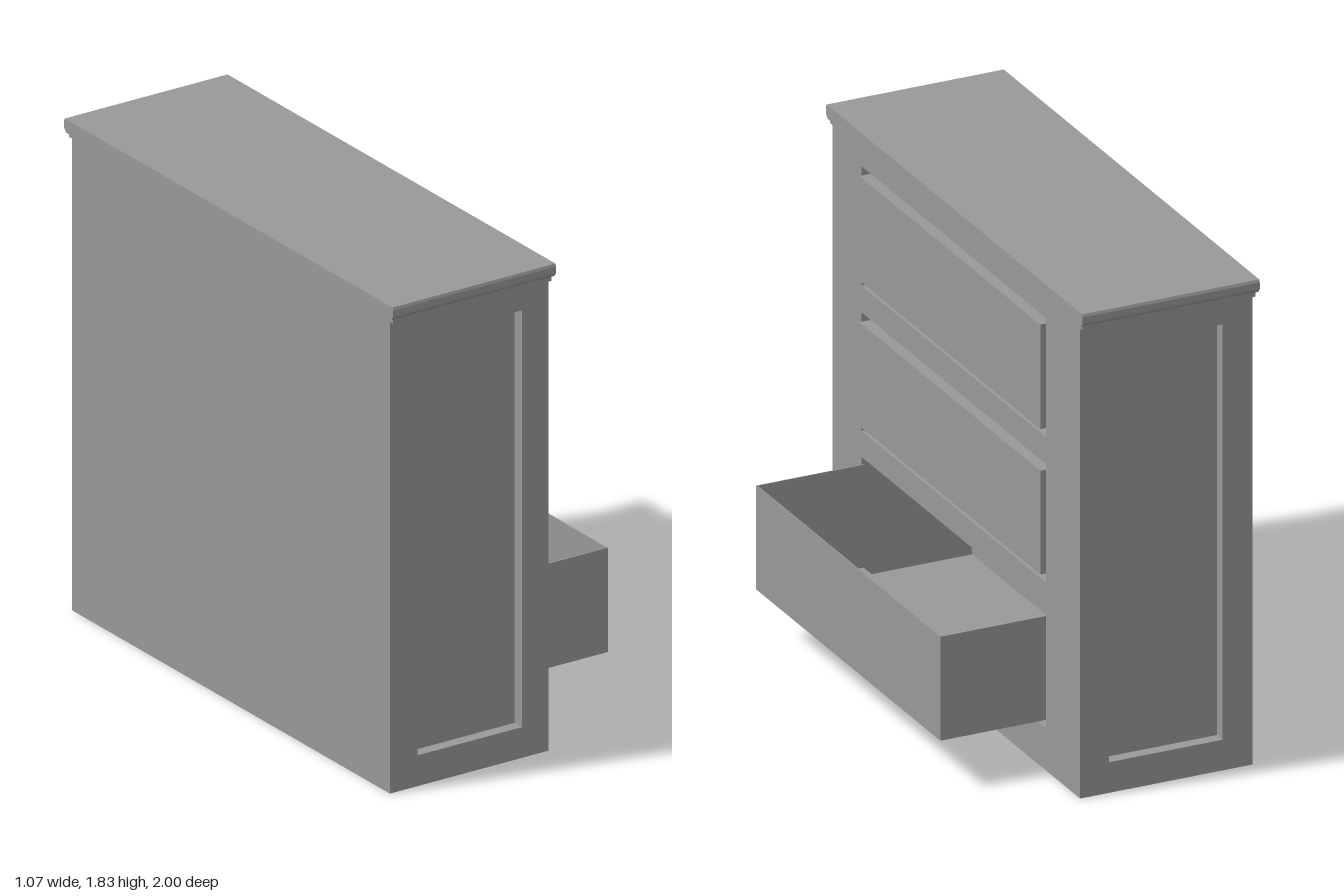
import * as THREE from 'three';

const material = new THREE.MeshStandardMaterial({ color: 0x999999, flatShading: true });

// Counter-clockwise rectangle corners
const rect = (u0, v0, u1, v1) =>
  [[u0, v0], [u1, v0], [u1, v1], [u0, v1]].map(([u, v]) => new THREE.Vector2(u, v));

function plate(outline, holes, depth) {
  const shape = new THREE.Shape(outline);
  holes.forEach((h) => shape.holes.push(new THREE.Path(h.slice().reverse())));
  return new THREE.ExtrudeGeometry(shape, { depth, bevelEnabled: false });
}

function add(parent, name, geometry) {
  const mesh = new THREE.Mesh(geometry, material);
  mesh.name = name;
  parent.add(mesh);
}

// Box given by its minimum and maximum on each axis
function block(parent, name, [x0, x1], [y0, y1], [z0, z1]) {
  const geometry = new THREE.BoxGeometry(x1 - x0, y1 - y0, z1 - z0);
  geometry.translate((x0 + x1) / 2, (y0 + y1) / 2, (z0 + z1) / 2);
  add(parent, name, geometry);
}

export function createModel() {
  const model = new THREE.Group();
  model.name = 'chestOfDrawers';

  const back = -0.527, front = 0.133, height = 1.78;
  const halfWidth = 0.965, panelDepth = 0.045, cavityBack = -0.29;
  const openings = [[0.16, 0.608], [0.705, 1.15], [1.25, 1.698]];

  // Carcass: pierced front section and solid rear section
  const inner = halfWidth - panelDepth;
  const frame = plate(
    rect(-inner, 0, inner, height),
    openings.map(([y0, y1]) => rect(-0.74, y0, 0.7, y1)),
    front - cavityBack
  );
  frame.rotateY(Math.PI / 2).translate(cavityBack, 0, 0);
  add(model, 'drawerFrame', frame);
  block(model, 'carcassBack', [back, cavityBack], [0, height], [-inner, inner]);

  // Framed side panels, recessed in the middle, with a moulding under the top
  for (const side of [1, -1]) {
    const label = side > 0 ? 'left' : 'right';
    const sideFrame = plate(
      rect(back, 0, front, height), [rect(-0.412, 0.115, 0.023, 1.673)], panelDepth
    );
    sideFrame.translate(0, 0, side > 0 ? inner : -halfWidth);
    add(model, label + 'SideFrame', sideFrame);
    const moulding = side > 0 ? [halfWidth, 0.985] : [-0.985, -halfWidth];
    block(model, label + 'Moulding', [back, front], [1.763, height], moulding);
  }

  // Top with eased ends
  const profile = [
    [-0.988, 1.78], [0.988, 1.78], [1, 1.795], [1, 1.82], [0.996, 1.83],
    [-0.996, 1.83], [-1, 1.82], [-1, 1.795],
  ].map(([u, v]) => new THREE.Vector2(u, v));
  const top = plate(profile, [], 0.678);
  top.rotateY(Math.PI / 2).translate(-0.537, 0, 0);
  add(model, 'top', top);

  // Closed drawers, standing just proud of the frame
  for (const [y0, y1] of openings.slice(1)) {
    block(model, 'closedDrawer', [cavityBack, 0.148], [y0 + 0.028, y1 - 0.028], [-0.685, 0.725]);
  }

  // Open drawer: thin floor, front and side walls, open into the carcass
  const drawer = new THREE.Group();
  drawer.name = 'openDrawer';
  model.add(drawer);
  const t = 0.004, x = [0.128, 0.537], y = [0.19, 0.58], z = [-0.699, 0.737];
  block(drawer, 'drawerFloor', x, [y[0], y[0] + t], z);
  block(drawer, 'drawerFront', [x[1] - t, x[1]], y, z);
  block(drawer, 'drawerLeftWall', x, y, [z[1] - t, z[1]]);
  block(drawer, 'drawerRightWall', x, y, [z[0], z[0] + t]);

  return model;
}
